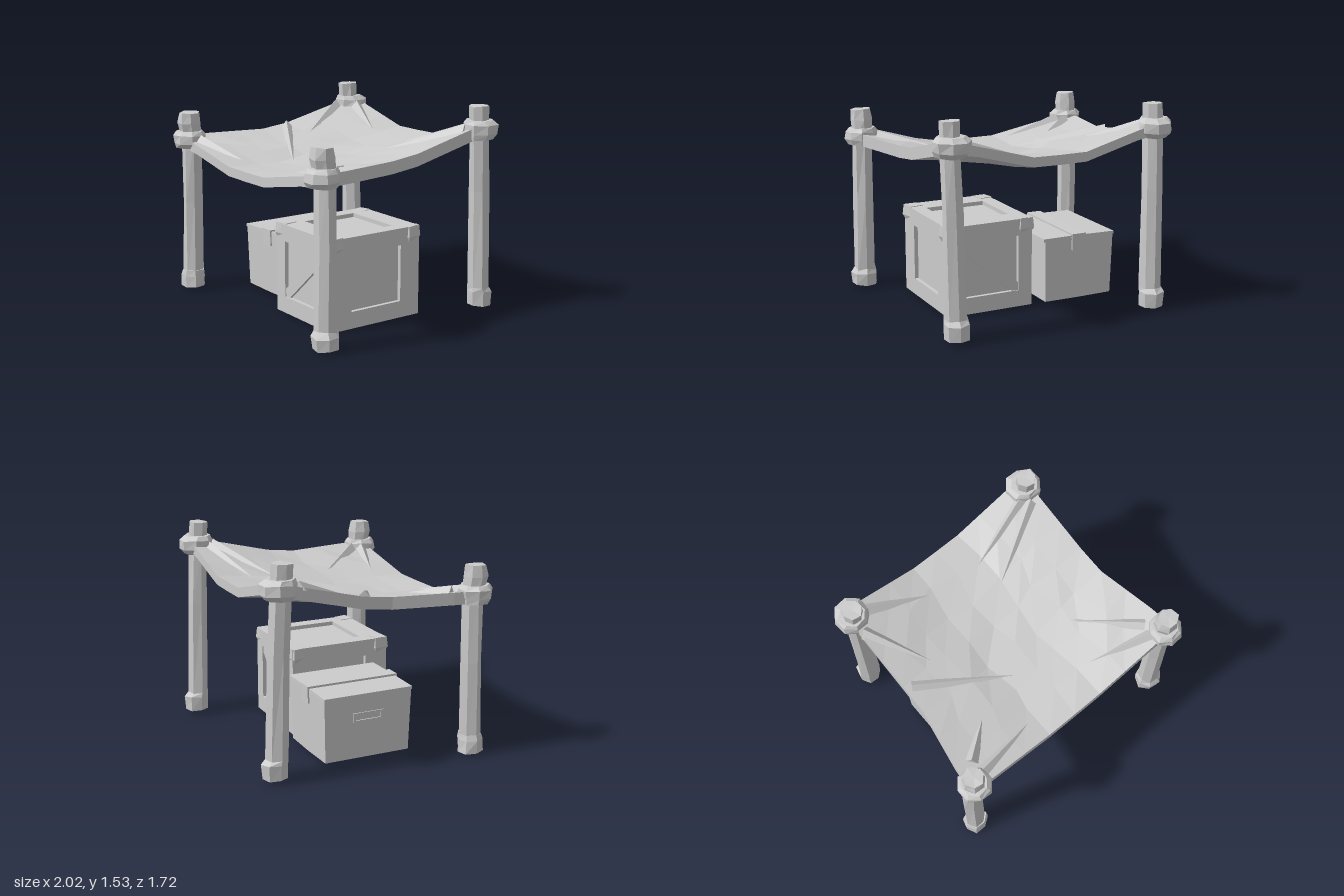
import * as THREE from 'three';

const gray = new THREE.MeshStandardMaterial({ color: 0xcccccc, flatShading: true });
gray.name = 'plain gray';

// Repeatable noise in -1..1 from a position
const noise = (a, b, c = 0) => {
  const s = Math.sin(a * 127.1 + b * 311.7 + c * 74.7) * 43758.5453;
  return (s - Math.floor(s)) * 2 - 1;
};
const clamp = THREE.MathUtils.clamp;

function add(parent, name, geometry) {
  const mesh = new THREE.Mesh(geometry, gray);
  mesh.name = name;
  parent.add(mesh);
  return mesh;
}

function triangles(points) {
  const g = new THREE.BufferGeometry();
  g.setAttribute('position', new THREE.Float32BufferAttribute(points.flat(), 3));
  g.computeVertexNormals();
  return g;
}

// Closed, slightly uneven column through rings [x, y, z, radius]
function loft(rings, sides, rough) {
  const p = (i, j) => {
    const [x, y, z, r] = rings[i];
    const k = j % sides, a = ((k + 0.4) / sides) * Math.PI * 2;
    const rr = r * (1 + rough * noise(k, i, x + z));
    return [x + Math.cos(a) * rr, y + rough * 0.06 * noise(i, k, z), z + Math.sin(a) * rr];
  };
  const out = [], last = rings.length - 1;
  for (let j = 0; j < sides; j++) {
    for (let i = 0; i < last; i++) {
      out.push(p(i, j), p(i + 1, j), p(i, j + 1), p(i, j + 1), p(i + 1, j), p(i + 1, j + 1));
    }
    out.push(rings[0].slice(0, 3), p(0, j), p(0, j + 1));
    out.push(rings[last].slice(0, 3), p(last, j + 1), p(last, j));
  }
  return triangles(out);
}

// Box given by its limits
function block(parent, name, x0, x1, y0, y1, z0, z1) {
  const mesh = add(parent, name, new THREE.BoxGeometry(x1 - x0, y1 - y0, z1 - z0));
  mesh.position.set((x0 + x1) / 2, (y0 + y1) / 2, (z0 + z1) / 2);
  return mesh;
}

// Height of the canopy's upper face
function clothHeight(x, z) {
  const middle = 1.085 + 0.155 * clamp((0.2 - z) / 0.97, 0, 1);
  const edge = 1.22 + 0.19 * clamp(-z / 0.77, 0, 1);
  const f = clamp((Math.abs(x) / clothWidth(z) - 0.24) / 0.76, 0, 1);
  return middle + (edge - middle) * f;
}
function clothWidth(z) {
  return 0.83 + 0.11 * clamp((z - 0.1) / 0.6, 0, 1);
}

function makeCanopy() {
  const canopy = new THREE.Group();
  canopy.name = 'canopy';
  const g = new THREE.BoxGeometry(2, 1, 2, 8, 1, 7);
  const pos = g.attributes.position;
  for (let i = 0; i < pos.count; i++) {
    const u = pos.getX(i), v = pos.getZ(i), top = pos.getY(i) > 0;
    const gu = Math.round(u * 4), gv = Math.round((v + 1) * 3.5);
    const inner = Math.abs(u) < 0.99 && Math.abs(v) < 0.99;
    const j = inner ? 0.045 : 0;
    const z = v * 0.78 + j * noise(gu, gv, 1);
    const x = u * clothWidth(z) + j * noise(gu, gv, 2);
    const y = clothHeight(x, z) + (inner ? 0.012 * noise(gu, gv, 3) : 0);
    pos.setXYZ(i, x, top ? y : y - (Math.abs(u) > 0.99 ? 0.09 : 0.07), z);
  }
  g.computeVertexNormals();
  add(canopy, 'cloth', g);

  // Tapering creases pulled out from the corners: [x, z] start and tip
  const creases = [
    [-0.8, -0.58, -0.55, -0.15], [0.72, -0.66, 0.18, -0.51], [0.76, -0.6, 0.22, -0.3],
    [-0.68, -0.7, -0.25, -0.55], [-0.8, 0.6, -0.54, 0.4], [-0.78, 0.7, -0.3, 0.62],
    [0.8, 0.62, 0.4, 0.2], [0.78, 0.7, 0.3, 0.55], [-0.78, -0.08, -0.14, 0.28],
  ];
  for (const [ax, az, bx, bz] of creases) {
    const d = new THREE.Vector2(bx - ax, bz - az).normalize().multiplyScalar(0.055);
    const at = (x, z, lift) => [x, clothHeight(x, z) + lift, z];
    const l = at(ax + d.y, az - d.x, -0.015), r = at(ax - d.y, az + d.x, -0.015);
    const ridge = at(ax, az, 0.045), tip = at(bx, bz, 0.005);
    add(canopy, 'crease', triangles([l, ridge, tip, ridge, r, tip, l, r, ridge]));
  }
  return canopy;
}

function makePost(name, side, front) {
  const post = new THREE.Group();
  post.name = name;
  const s = side;
  if (front) {
    add(post, 'shaft', loft([[s * 0.9, 0.1, 0.725, 0.08], [s * 0.9, 0.7, 0.715, 0.078],
      [s * 0.89, 1.2, 0.715, 0.075], [s * 0.89, 1.32, 0.735, 0.088], [s * 0.89, 1.4, 0.735, 0.076]], 7, 0.08));
    add(post, 'foot', loft([[s * 0.905, 0.02, 0.725, 0.095], [s * 0.905, 0.11, 0.725, 0.095],
      [s * 0.9, 0.155, 0.725, 0.08]], 7, 0.1));
    add(post, 'collar', loft([[s * 0.89, 1.13, 0.735, 0.105], [s * 0.89, 1.17, 0.74, 0.122],
      [s * 0.89, 1.23, 0.74, 0.122], [s * 0.89, 1.26, 0.735, 0.1]], 8, 0.07));
  } else {
    add(post, 'shaft', loft([[s * 0.785, 0.03, -0.76, 0.09], [s * 0.785, 0.14, -0.76, 0.095],
      [s * 0.785, 0.17, -0.75, 0.082], [s * 0.79, 0.9, -0.73, 0.075], [s * 0.795, 1.35, -0.71, 0.072],
      [s * 0.795, 1.53, -0.7, 0.075]], 7, 0.08));
    add(post, 'collar', loft([[s * 0.795, 1.29, -0.71, 0.105], [s * 0.795, 1.33, -0.725, 0.13],
      [s * 0.795, 1.4, -0.725, 0.13], [s * 0.795, 1.43, -0.71, 0.1]], 8, 0.07));
  }
  return post;
}

function makeCrate() {
  const crate = new THREE.Group();
  crate.name = 'woodenCrate';
  const X = [-0.04, 0.07, 0.54, 0.645], Y = [0.005, 0.13, 0.55, 0.675], Z = [-0.29, -0.12, 0.32, 0.5];
  block(crate, 'panels', X[0] + 0.03, X[3] - 0.03, Y[0], Y[3] - 0.03, Z[0] + 0.03, Z[3] - 0.03);
  for (const a of [0, 2]) {
    for (const b of [0, 2]) {
      block(crate, 'uprightBeam', X[a], X[a + 1], Y[1], Y[2], Z[b], Z[b + 1]);
      block(crate, 'crossBeam', X[0], X[3], Y[a], Y[a + 1], Z[b], Z[b + 1]);
      block(crate, 'sideBeam', X[a], X[a + 1], Y[b], Y[b + 1], Z[1], Z[2]);
    }
  }
  // Worn corner caps along the upper rim
  for (const x of [X[0] + 0.05, X[3] - 0.05]) {
    for (const z of [Z[0] + 0.055, Z[3] - 0.055]) {
      add(crate, 'cornerCap', loft([[x, 0.555, z, 0.06], [x, 0.6, z, 0.083], [x, 0.678, z, 0.075]], 4, 0.06));
    }
  }
  // Diagonal braces on front and back, cut to fit the opening
  const brace = new THREE.Shape([[0.07, 0.13], [0.12, 0.13], [0.54, 0.495], [0.54, 0.55], [0.49, 0.55], [0.07, 0.19]]
    .map(([x, y]) => new THREE.Vector2(x, y)));
  for (const z of [Z[0] + 0.008, Z[3] - 0.033]) {
    add(crate, 'brace', new THREE.ExtrudeGeometry(brace, { depth: 0.025, bevelEnabled: false })).position.z = z;
  }
  return crate;
}

function makeBox() {
  const box = new THREE.Group();
  box.name = 'cardboardBox';
  // Body flares towards the top and bows a little
  const g = new THREE.BoxGeometry(0.57, 0.47, 0.68, 2, 2, 2);
  const pos = g.attributes.position;
  for (let i = 0; i < pos.count; i++) {
    const x = pos.getX(i), y = pos.getY(i), z = pos.getZ(i);
    const k = 1 + y * 0.08;
    pos.setXYZ(i, x * k, y, z * k + (Math.abs(x) < 0.01 ? Math.sign(z) * 0.006 : 0));
  }
  g.computeVertexNormals();
  add(box, 'body', g).position.set(-0.413, 0.255, 0);

  // Two lid flaps with a seam under the tape
  block(box, 'lidFlap', -0.71, -0.405, 0.485, 0.508, -0.35, 0.35).rotation.z = 0.02;
  block(box, 'lidFlap', -0.399, -0.11, 0.487, 0.512, -0.35, 0.35);
  block(box, 'tapeTop', -0.46, -0.345, 0.505, 0.525, -0.362, 0.362);
  for (const s of [-1, 1]) {
    block(box, 'tapeEnd', -0.46, -0.345, 0.4, 0.525, s * 0.355 - 0.007, s * 0.355 + 0.007);
    // Hand hold: raised rim around a slot on each side
    const rim = new THREE.Shape([[-0.12, -0.035], [0.12, -0.035], [0.12, 0.035], [-0.12, 0.035]]
      .map(([x, y]) => new THREE.Vector2(x, y)));
    rim.holes.push(new THREE.Path([[-0.1, -0.02], [-0.1, 0.02], [0.1, 0.02], [0.1, -0.02]]
      .map(([x, y]) => new THREE.Vector2(x, y))));
    const hold = add(box, 'handHold', new THREE.ExtrudeGeometry(rim, { depth: 0.012, bevelEnabled: false }));
    hold.position.set(-0.413 + s * 0.284, 0.33, 0);
    hold.rotation.y = s * Math.PI / 2;
  }
  return box;
}

export function createModel() {
  const model = new THREE.Group();
  model.name = 'marketStall';
  model.add(makeCanopy(), makeCrate(), makeBox());
  for (const [side, label] of [[1, 'Left'], [-1, 'Right']]) {
    model.add(makePost('front' + label + 'Post', side, true));
    model.add(makePost('back' + label + 'Post', side, false));
  }
  return model;
}
